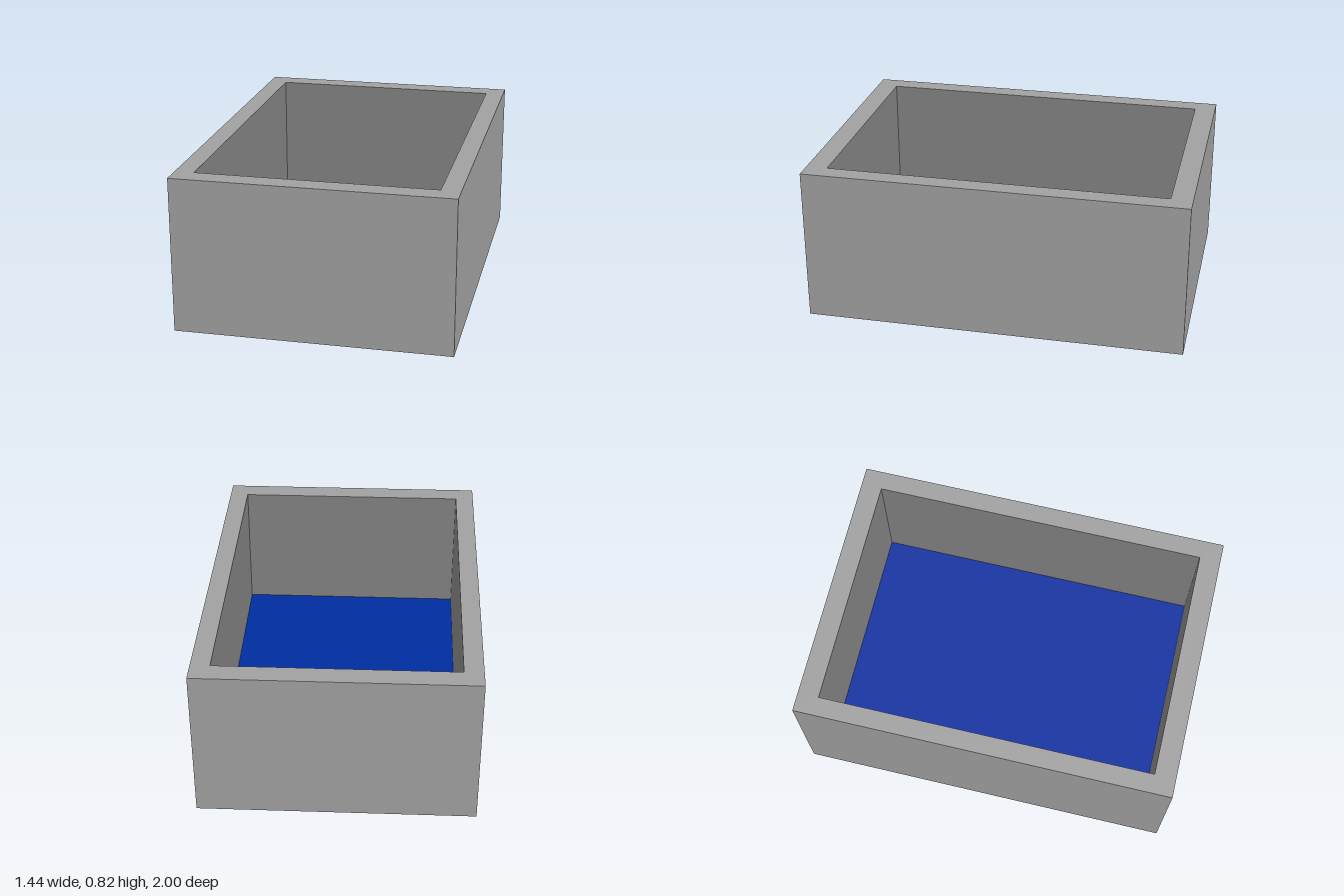
import * as THREE from 'three';

// Outer and inner half sizes, rim height and floor height
const OUT = [0.718, 1], INN = [0.618, 0.888], RIM = 0.82, FLOOR = 0.12;

// Rectangular loop of four corners, counter-clockwise seen from above
const loop = ([x, z], y) => [[x, y, z], [x, y, -z], [-x, y, -z], [-x, y, z]];

// Flat-sided skin between successive loops, with the first loop capped underneath if asked
function skin(name, color, loops, capped) {
  const pos = [];
  const quad = (a, b, c, d) => pos.push(...a, ...b, ...c, ...a, ...c, ...d);
  for (let i = 0; i < loops.length - 1; i++) {
    for (let j = 0; j < 4; j++) {
      const k = (j + 1) % 4;
      quad(loops[i][j], loops[i][k], loops[i + 1][k], loops[i + 1][j]);
    }
  }
  if (capped) quad(...[...loops[0]].reverse());
  const geo = new THREE.BufferGeometry();
  geo.setAttribute('position', new THREE.Float32BufferAttribute(pos, 3));
  geo.computeVertexNormals();
  const mesh = new THREE.Mesh(geo, new THREE.MeshStandardMaterial({ color, flatShading: true }));
  mesh.name = name;
  return mesh;
}

export function createModel() {
  const group = new THREE.Group();
  group.name = 'openBasin';

  // Outside walls, underside and flat rim
  group.add(skin('outerShell', 0xa0a0a0, [loop(OUT, 0), loop(OUT, RIM), loop(INN, RIM)], true));

  // Darker inside walls
  group.add(skin('innerWalls', 0x828282, [loop(INN, RIM), loop(INN, FLOOR)], false));

  // Blue floor filling the inside
  const floor = new THREE.Mesh(
    new THREE.PlaneGeometry(INN[0] * 2, INN[1] * 2).rotateX(-Math.PI / 2),
    new THREE.MeshStandardMaterial({ color: 0x002da0 })
  );
  floor.name = 'blueFloor';
  floor.position.y = FLOOR;
  group.add(floor);

  return group;
}
